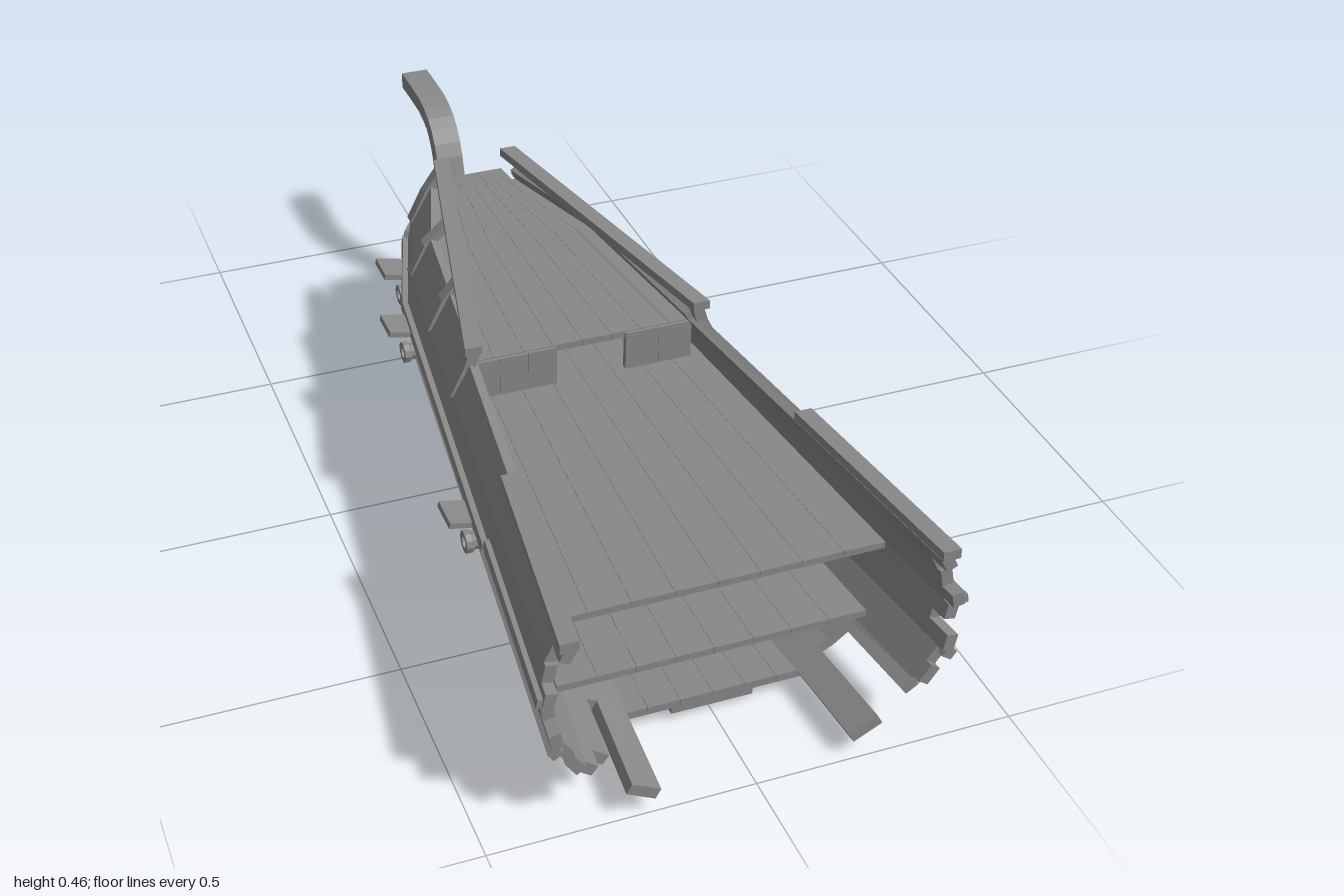
import * as THREE from 'three';

const mat = new THREE.MeshStandardMaterial({ color: 0x888888, flatShading: true });

// Half cross-sections of the hull, keel to gunwale, as [x, y], at three stations
const stations = [
  { z: 1.0, p: [[.19, .028], [.27, .07], [.328, .11], [.376, .18], [.394, .275], [.380, .345], [.35, .41]] },
  { z: -.3, p: [[.10, .014], [.15, .05], [.178, .1], [.222, .165], [.236, .265], [.222, .335], [.185, .40]] },
  { z: -.56, p: [[.06, .006], [.08, .045], [.085, .1], [.135, .165], [.157, .265], [.142, .335], [.105, .40]] },
];
function hullPoint(k, z) {
  const [a, b] = z > -.3 ? [stations[0], stations[1]] : [stations[1], stations[2]];
  const t = (a.z - z) / (a.z - b.z);
  return [0, 1].map(i => a.p[k][i] + (b.p[k][i] - a.p[k][i]) * t);
}
// Hull half width at the height of the guns
function gunX(y, z) {
  const a = hullPoint(3, z), b = hullPoint(4, z);
  return a[0] + (b[0] - a[0]) * (y - a[1]) / (b[1] - a[1]);
}

// Closed solid through a list of rings of [x, y, z]
function loft(name, rings, parent) {
  const n = rings[0].length, tris = [];
  for (let i = 0; i < rings.length - 1; i++) {
    for (let j = 0; j < n; j++) {
      const a = rings[i][j], b = rings[i][(j + 1) % n], c = rings[i + 1][(j + 1) % n], d = rings[i + 1][j];
      tris.push([a, b, c], [a, c, d]);
    }
  }
  const end = rings[rings.length - 1];
  for (let j = 1; j < n - 1; j++) {
    tris.push([rings[0][0], rings[0][j + 1], rings[0][j]], [end[0], end[j], end[j + 1]]);
  }
  // Turn the faces outward
  const v = tris.map(t => t.map(q => new THREE.Vector3(...q)));
  const vol = v.reduce((s, [a, b, c]) => s + a.dot(b.clone().cross(c)), 0);
  const pos = v.flatMap(([a, b, c]) => vol > 0 ? [a, b, c] : [a, c, b]);
  const g = new THREE.BufferGeometry().setFromPoints(pos);
  g.computeVertexNormals();
  const m = new THREE.Mesh(g, mat);
  m.name = name;
  parent.add(m);
}

function box(name, parent, size, at, rotZ = 0) {
  const m = new THREE.Mesh(new THREE.BoxGeometry(...size), mat);
  m.name = name;
  m.position.set(...at);
  m.rotation.z = rotZ;
  parent.add(m);
}

// Hull board between section points k and k+1; f0, f1 trim its height
function strake(name, parent, side, k, z0, z1, { f0 = 0, f1 = 1, out = 0, t = .022 } = {}) {
  const zs = z0 > -.3 && z1 < -.3 ? [z0, -.3, z1] : [z0, z1];
  loft(name, zs.map(z => {
    const a = hullPoint(k, z), b = hullPoint(k + 1, z);
    const dx = b[0] - a[0], dy = b[1] - a[1], l = Math.hypot(dx, dy);
    const nx = dy / l, ny = -dx / l;
    const at = (f, o) => [side * (a[0] + dx * f + nx * o), a[1] + dy * f + ny * o, z];
    return [at(f0, out), at(f1, out), at(f1, out - t), at(f0, out - t)];
  }), parent);
}

// Flat tapering deck of n boards; rows are [z, half width, top y]
function deck(name, parent, rows, n = 8, t = .014) {
  const group = new THREE.Group();
  group.name = name;
  parent.add(group);
  for (let i = 0; i < n; i++) {
    loft('deckBoard', rows.map(([z, w, y]) => {
      const a = w * (2 * i / n - 1) + (i ? .0006 : 0), b = w * (2 * (i + 1) / n - 1);
      return [[a, y, z], [b, y, z], [b, y - t, z], [a, y - t, z]];
    }), group);
  }
}

// Upright boards across the hull
function bulkhead(name, parent, x0, x1, y0, y1, z, n) {
  const w = (x1 - x0) / n;
  for (let i = 0; i < n; i++) {
    box(name, parent, [w - .0006, y1 - y0, .014], [x0 + w * (i + .5), (y0 + y1) / 2, z]);
  }
}

// Straight or bent beam with a rectangular section
function beam(name, parent, pts, w, h) {
  loft(name, pts.map(([x, y, z]) => [[x - w / 2, y - h / 2, z], [x + w / 2, y - h / 2, z],
    [x + w / 2, y + h / 2, z], [x - w / 2, y + h / 2, z]]), parent);
}

export function createModel() {
  const ship = new THREE.Group();
  ship.name = 'shipwreckHull';
  const ports = [.42, -.23, -.45];

  // Decks and bottom
  deck('bottomPlanking', ship, [[.8, .19, .045], [-.3, .105, .03], [-.54, .065, .02]], 6, .016);
  deck('keelBoard', ship, [[.8, .08, .03], [-.54, .075, .014]], 1);
  deck('lowerDeck', ship, [[.8, .3, .15], [-.3, .195, .15], [-.53, .115, .15]]);
  deck('mainDeck', ship, [[.8, .325, .302], [-.3, .21, .302], [-.53, .135, .302]]);
  deck('foredeck', ship, [[.12, .245, .387], [-.3, .19, .377], [-.56, .1, .372]]);
  deck('foredeckTip', ship, [[-.56, .09, .371], [-.625, .085, .367]], 3);

  // Bulkheads, the upper one with a doorway
  bulkhead('lowerBulkheadBoard', ship, -.297, .297, .15, .288, .47, 8);
  bulkhead('foredeckBulkheadBoard', ship, -.23, -.055, .3, .385, .12, 3);
  bulkhead('foredeckBulkheadBoard', ship, .09, .23, .3, .385, .12, 2);

  for (const s of [-1, 1]) {
    const side = new THREE.Group();
    side.name = s > 0 ? 'leftSide' : 'rightSide';
    ship.add(side);

    // Bottom boards, with torn ends
    strake('bilgeBoard', side, s, 0, .78, -.54);
    strake('brokenBilgeBoard', side, s, 0, s < 0 ? 1 : .99, .78, { f0: .02, f1: .7 });
    strake('lowerStrake', side, s, 1, s < 0 ? .93 : .78, -.55);
    strake('lowerStrakeEnd', side, s, 1, .97, .6, { f0: .55, f1: .97 });
    strake('turnStrake', side, s, 2, .97, -.56);
    strake('turnStrakeEnd', side, s, 2, .985, .9, { f0: .1, f1: .55 });

    // Gun strake, broken by the ports
    let z = .93;
    for (const p of ports) {
      strake('gunStrake', side, s, 3, z, p + .036);
      strake('portSill', side, s, 3, p + .036, p - .036, { f1: .1 });
      strake('portHeader', side, s, 3, p + .036, p - .036, { f0: .85 });
      z = p - .036;
    }
    strake('gunStrake', side, s, 3, z, -.56);
    strake('gunStrakeEnd', side, s, 3, .985, .9, { f0: .05, f1: .4 });
    strake('gunStrakeEnd', side, s, 3, .965, .9, { f0: .62, f1: .95 });

    // Upper boards
    strake('upperStrake', side, s, 4, .95, -.56);
    strake('upperStrakeEnd', side, s, 4, .98, .9, { f0: .1, f1: .5 });
    strake('bulwark', side, s, 5, .94, -.56);
    strake('bulwarkEnd', side, s, 5, .985, .9, { f0: .5 });
    strake('foredeckBulwark', side, s, 5, .13, -.55, { f0: .98, f1: 1.2 });

    // Raised wales along the outside
    strake('lowerWale', side, s, 2, .985, -.56, { f0: .82, f1: 1.05, out: .008 });
    strake('middleWale', side, s, 4, .54, -.565, { f0: -.08, f1: .16, out: .012 });
    strake('middleWale', side, s, 4, .975, .54, { f0: .05, f1: .3, out: .01 });

    // Aft gunwale and foredeck rail with posts
    beam('gunwaleCap', side, [.99, .52].map(q => [s * (hullPoint(6, q)[0] - .002), hullPoint(6, q)[1] - .002, q]), .034, .02);
    const rail = q => [s * (.236 - (.16 - q) * .226), .438 + (.16 - q) * .018, q];
    beam('foredeckRail', side, [.16, -.55].map(rail), .034, .018);
    for (const q of [.14, -.1, -.32, -.53]) {
      const r = rail(q), b = hullPoint(5, q);
      loft('railPost', [[b[0] - .002, b[1]], [hullPoint(6, q)[0] + .002, .4], [Math.abs(r[0]), r[1]]].map(([x, y]) => [
        [s * (x - .014), y, q - .013], [s * (x + .01), y, q - .013],
        [s * (x + .01), y, q + .013], [s * (x - .014), y, q + .013]]), side);
    }

    // Guns and open port lids
    for (const p of ports) {
      const gun = new THREE.Group();
      gun.name = 'gun';
      gun.position.set(s * gunX(.2, p), .2, p);
      gun.rotation.z = -s * Math.PI / 2;
      side.add(gun);
      const barrel = new THREE.Mesh(new THREE.LatheGeometry([[0, -.06], [.024, -.06], [.018, .018], [.023, .022],
        [.023, .034], [.012, .034], [.012, .01], [0, .01]].map(q => new THREE.Vector2(...q)), 10), mat);
      barrel.name = 'gunBarrel';
      gun.add(barrel);
      box('portLid', side, [.055, .012, .072], [s * (gunX(.265, p) + .033), .268, p], s * .2);
    }
  }

  // Torn wale plank left at the bow
  beam('brokenWale', ship, [[-.155, .287, -.55], [-.105, .287, -.63], [-.055, .282, -.685]], .022, .016);

  // Curved stem piece
  const path = new THREE.CatmullRomCurve3([[.178, -.645], [.19, -.69], [.26, -.728], [.345, -.752], [.4, -.79], [.425, -.85], [.427, -1]]
    .map(([y, z]) => new THREE.Vector3(0, y, z)));
  const rings = [];
  for (let i = 0; i <= 14; i++) {
    const c = path.getPoint(i / 14), d = path.getTangent(i / 14);
    const ny = -d.z * .018, nz = d.y * .018;
    rings.push([[-.03, c.y + ny, c.z + nz], [.03, c.y + ny, c.z + nz], [.03, c.y - ny, c.z - nz], [-.03, c.y - ny, c.z - nz]]);
  }
  loft('stemPiece', rings, ship);

  return ship;
}
